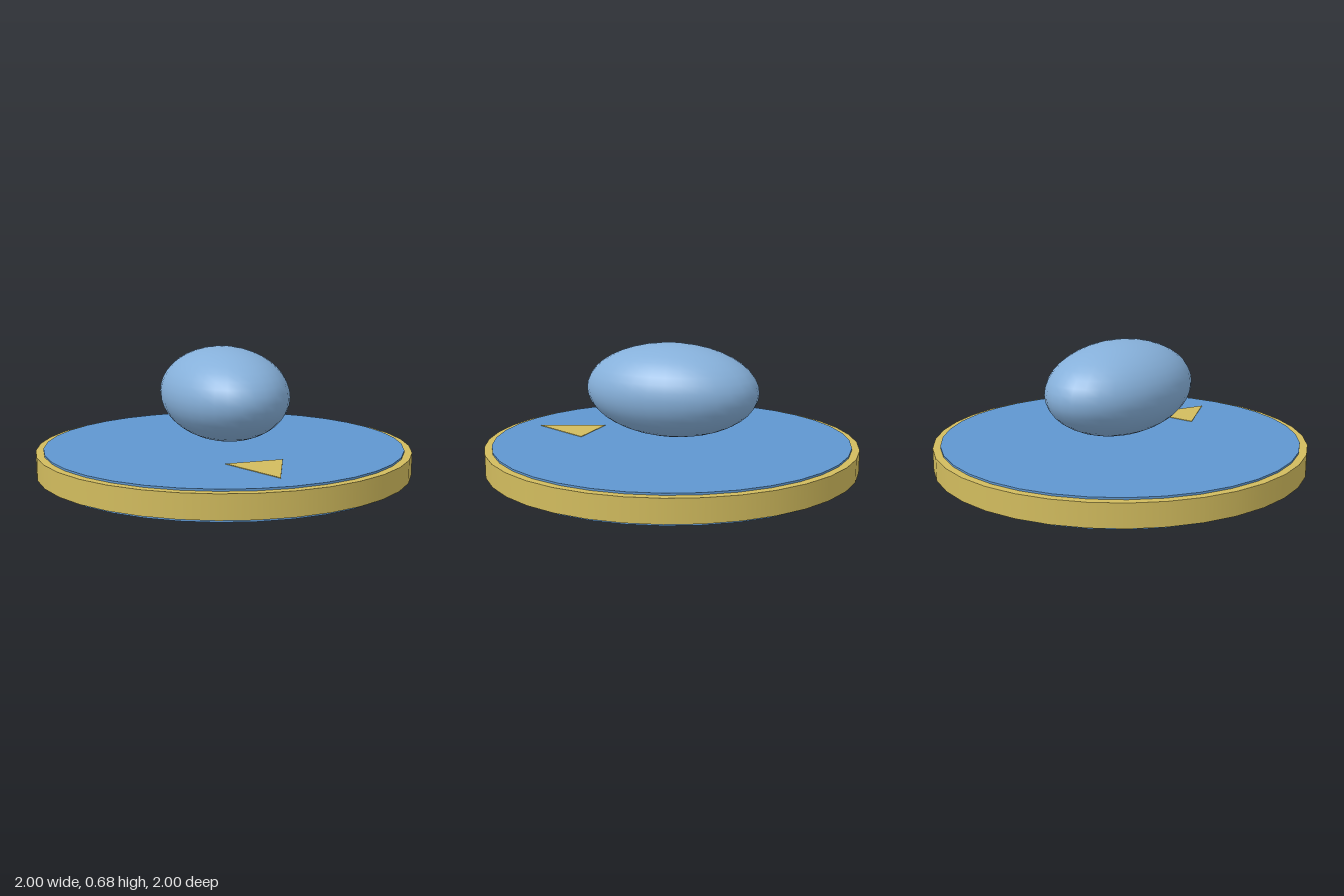
import * as THREE from 'three';

export function createModel() {
  const model = new THREE.Group();
  const material = (name, color) => {
    const m = new THREE.MeshStandardMaterial({ color });
    m.name = name;
    return m;
  };
  const blue = material('disc blue', 0x5f97d0);
  const paleBlue = material('pale blue', 0x86b0da);
  const gold = material('gold', 0xd2bc5e);

  const add = (name, geometry, mat, y) => {
    const mesh = new THREE.Mesh(geometry, mat);
    mesh.name = name;
    mesh.position.y = y;
    model.add(mesh);
    return mesh;
  };

  // Round base with a slightly wider, thinner rim band
  add('baseDisc', new THREE.CylinderGeometry(0.96, 0.96, 0.15, 36), blue, 0.075);
  add('rimBand', new THREE.CylinderGeometry(1, 1, 0.12, 36), gold, 0.08);

  // Floating ellipsoid body, longest from front to back
  const body = add('body', new THREE.SphereGeometry(1, 32, 20), paleBlue, 0.425);
  body.scale.set(0.33, 0.25, 0.48);

  // Thin arrow plate on the disc, pointing to the front
  const arrow = new THREE.Shape([
    new THREE.Vector2(-0.15, -0.475),
    new THREE.Vector2(0, -0.815),
    new THREE.Vector2(0.15, -0.475),
  ]);
  const arrowGeometry = new THREE.ExtrudeGeometry(arrow, { depth: 0.004, bevelEnabled: false });
  arrowGeometry.rotateX(-Math.PI / 2);
  add('frontArrow', arrowGeometry, gold, 0.149);

  return model;
}
